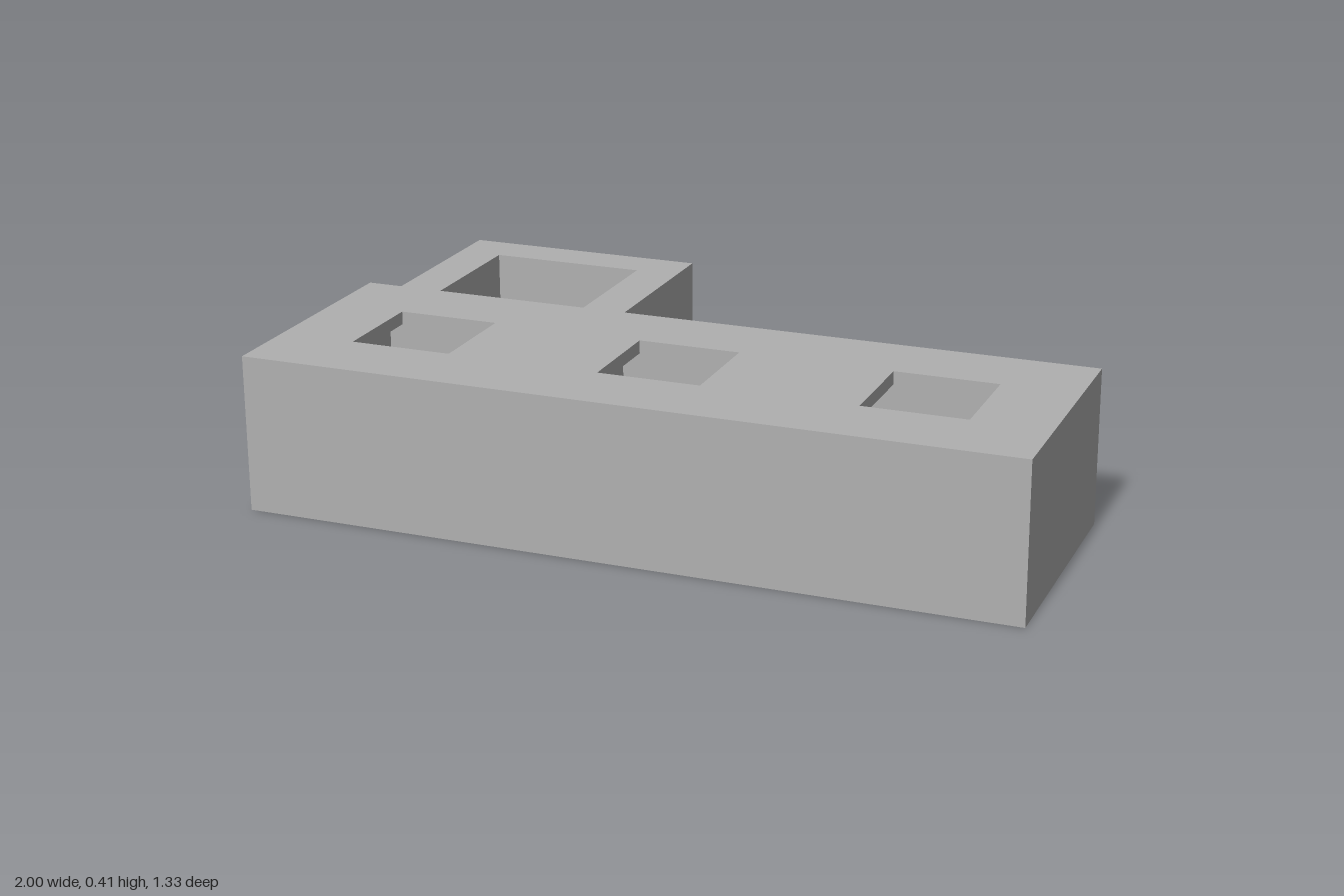
import * as THREE from 'three';

const CELL = 2 / 3;        // spacing of the chambers
const CAVITY = 0.427;      // chamber width and depth
const WINDOW = 0.267;      // opening in the top plate
const BACK_H = 0.347, CHANNEL_TOP = 0.373, FRONT_H = 0.407;

export function createModel() {
  const group = new THREE.Group();
  const grey = new THREE.MeshStandardMaterial({ color: 0xb0b0b0 });
  grey.name = 'grey';

  // Closed square outline around (cx, cz)
  const square = (cx, cz, size, Type) => {
    const h = size / 2;
    return new Type([[-h, -h], [h, -h], [h, h], [-h, h]]
      .map(([x, z]) => new THREE.Vector2(cx + x, cz + z)));
  };

  // Extrude an x/z outline between two heights
  const slab = (name, shape, bottom, top) => {
    const geo = new THREE.ExtrudeGeometry(shape, { depth: top - bottom, bevelEnabled: false });
    geo.rotateX(Math.PI / 2).translate(0, top, 0);
    const mesh = new THREE.Mesh(geo, grey);
    mesh.name = name;
    group.add(mesh);
  };

  const outline = () => new THREE.Shape([[-1, 0], [1, 0], [1, CELL], [-1, CELL]]
    .map(([x, z]) => new THREE.Vector2(x, z)));
  const centres = [-CELL, 0, CELL];
  const cz = CELL / 2;

  // Front block: walls around three chambers
  const walls = outline();
  centres.forEach(x => walls.holes.push(square(x, cz, CAVITY, THREE.Path)));
  slab('frontWalls', walls, 0, BACK_H);

  // Thin layer with a narrow channel from each chamber out through the back
  const h = CAVITY / 2;
  const pts = [[-1, 0]];
  centres.forEach(x => {
    const a = x + 0.133, b = x + 0.2;
    pts.push([a, 0], [a, cz - h], [x - h, cz - h], [x - h, cz + h],
      [x + h, cz + h], [x + h, cz - h], [b, cz - h], [b, 0]);
  });
  pts.push([1, 0], [1, CELL], [-1, CELL]);
  slab('channelLayer', new THREE.Shape(pts.map(([x, z]) => new THREE.Vector2(x, z))), BACK_H, CHANNEL_TOP);

  // Top plate with smaller windows
  const plate = outline();
  centres.forEach(x => plate.holes.push(square(x, cz, WINDOW, THREE.Path)));
  slab('topPlate', plate, CHANNEL_TOP, FRONT_H);

  // Lower back block, open at the top
  const back = square(-CELL, -cz, CELL, THREE.Shape);
  back.holes.push(square(-CELL, -cz, CAVITY, THREE.Path));
  slab('backWalls', back, 0, BACK_H);

  // Cross bars under every chamber
  [...centres.map(x => [x, cz]), [-CELL, -cz]].forEach(([x, z]) => {
    const bar = new THREE.Mesh(new THREE.BoxGeometry(0.067, 0.067, CAVITY), grey);
    bar.name = 'crossBar';
    bar.position.set(x, 0.0335, z);
    group.add(bar);
  });

  return group;
}
